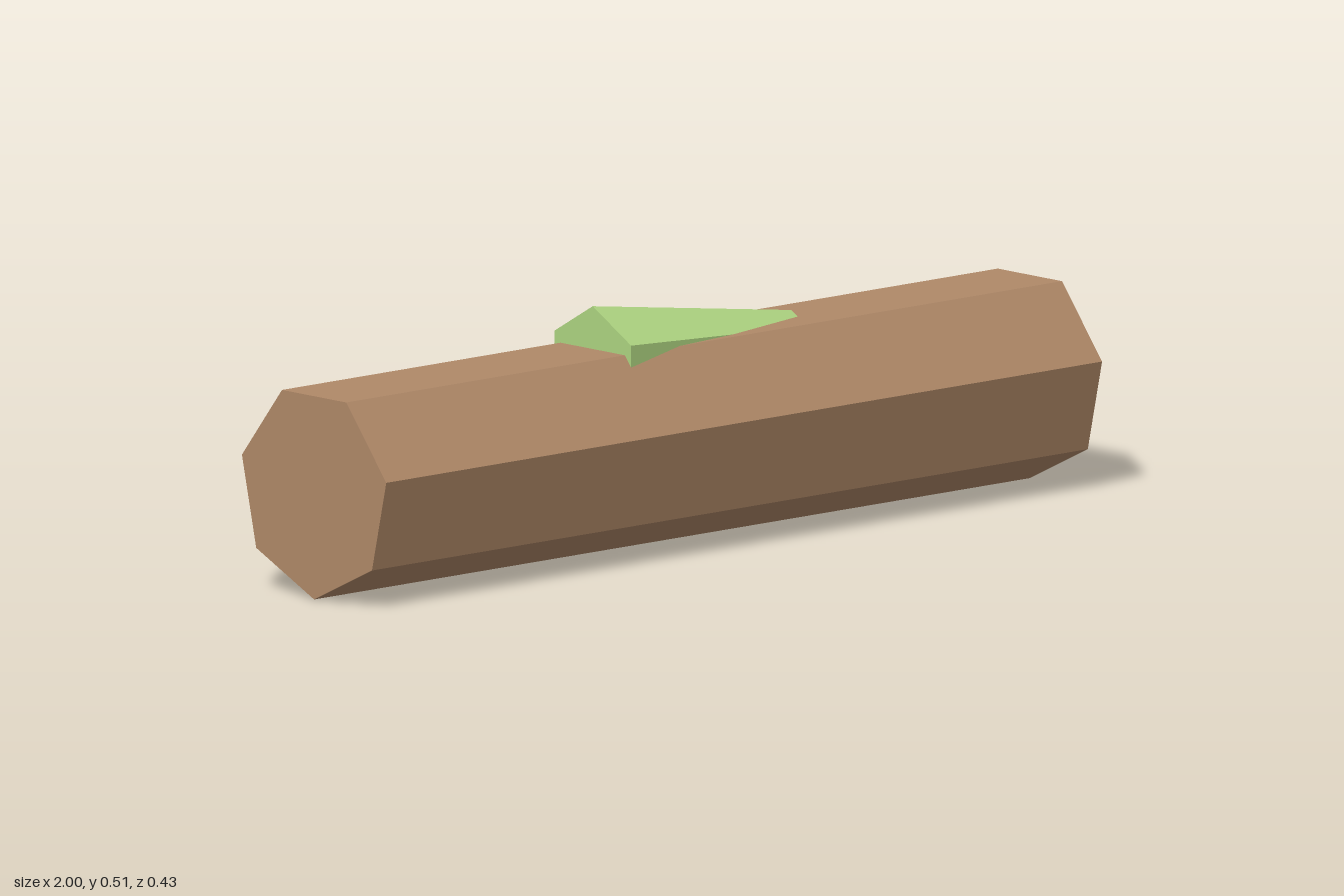
import * as THREE from 'three';

// Low-poly prism lying along x, with one corner pointing straight down
function prism(name, rightRadius, leftRadius, length, sides, material) {
  const geometry = new THREE.CylinderGeometry(rightRadius, leftRadius, length, sides, 1, false, Math.PI / 2);
  geometry.rotateZ(-Math.PI / 2);
  const mesh = new THREE.Mesh(geometry, material);
  mesh.name = name;
  return mesh;
}

export function createModel() {
  const bark = new THREE.MeshStandardMaterial({ name: 'brown bark', color: 0xb08968, flatShading: true });
  const moss = new THREE.MeshStandardMaterial({ name: 'green moss', color: 0xaed581, flatShading: true });

  const model = new THREE.Group();
  model.name = 'mossyLog';

  // Seven-sided log
  const radius = 0.2225;
  const log = prism('log', radius, radius, 2, 7, bark);
  log.position.y = radius;

  // Tapered six-sided moss patch, half sunk into the log
  const patch = prism('mossPatch', 0.055, 0.133, 0.555, 6, moss);
  patch.position.set(0.056, 0.379, 0);

  model.add(log, patch);
  return model;
}
